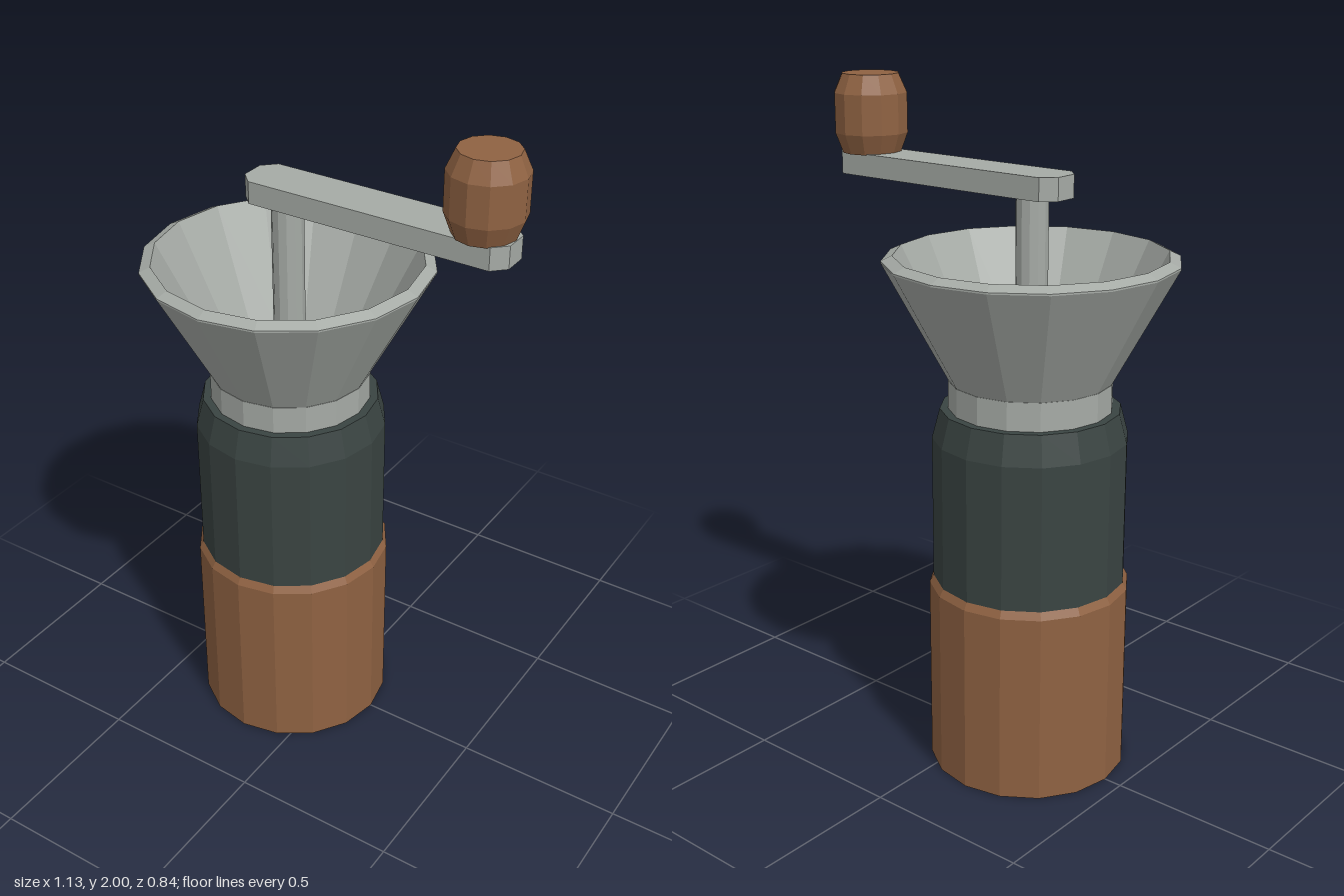
import * as THREE from 'three';

const mat = (color) => new THREE.MeshStandardMaterial({ color, flatShading: true });

export function createModel() {
  const group = new THREE.Group();
  const wood = mat(0x8f6242), dark = mat(0x3a4442), metal = mat(0xa6aba6);
  const axisX = -0.15, knobX = 0.455;

  const add = (name, geometry, material, x, y = 0) => {
    const mesh = new THREE.Mesh(geometry, material);
    mesh.name = name;
    mesh.position.set(x, y, 0);
    group.add(mesh);
    return mesh;
  };
  // Faceted turned part from [radius, height] pairs, listed bottom to top
  const turned = (name, profile, sides, material, x) =>
    add(name, new THREE.LatheGeometry(profile.map(([r, y]) => new THREE.Vector2(r, y)), sides), material, x);

  // Stacked body
  turned('woodenBase', [[0, 0], [0.295, 0], [0.295, 0.57], [0.283, 0.592], [0, 0.592]], 16, wood, axisX);
  turned('grinderBody', [[0, 0.58], [0.283, 0.58], [0.283, 1.02], [0.26, 1.107], [0, 1.107]], 16, dark, axisX);
  turned('neck', [[0, 1.1], [0.236, 1.1], [0.236, 1.19], [0, 1.19]], 16, metal, axisX);

  // Open funnel: outer wall, bevelled rim, inner wall, floor
  turned('hopper', [[0, 1.185], [0.232, 1.185], [0.418, 1.53], [0.418, 1.535],
    [0.386, 1.55], [0.207, 1.2], [0, 1.2]], 16, metal, axisX);

  // Crank shaft
  add('shaft', new THREE.CylinderGeometry(0.046, 0.046, 0.53, 12), metal, axisX, 1.455);

  // Crank arm: bar with chamfered corners
  const x0 = -0.265, x1 = 0.545, w = 0.072, c = 0.037;
  const outline = new THREE.Shape([
    [x0 + c, -w], [x1 - c, -w], [x1, -w + c], [x1, w - c],
    [x1 - c, w], [x0 + c, w], [x0, w - c], [x0, -w + c],
  ].map(([x, y]) => new THREE.Vector2(x, y)));
  const arm = new THREE.ExtrudeGeometry(outline, { depth: 0.065, bevelEnabled: false });
  arm.rotateX(-Math.PI / 2);
  add('crankArm', arm, metal, 0, 1.71);

  // Turned knob
  turned('knob', [[0, 1.772], [0.087, 1.772], [0.109, 1.83], [0.109, 1.945], [0.084, 2], [0, 2]], 12, wood, knobX);

  return group;
}
